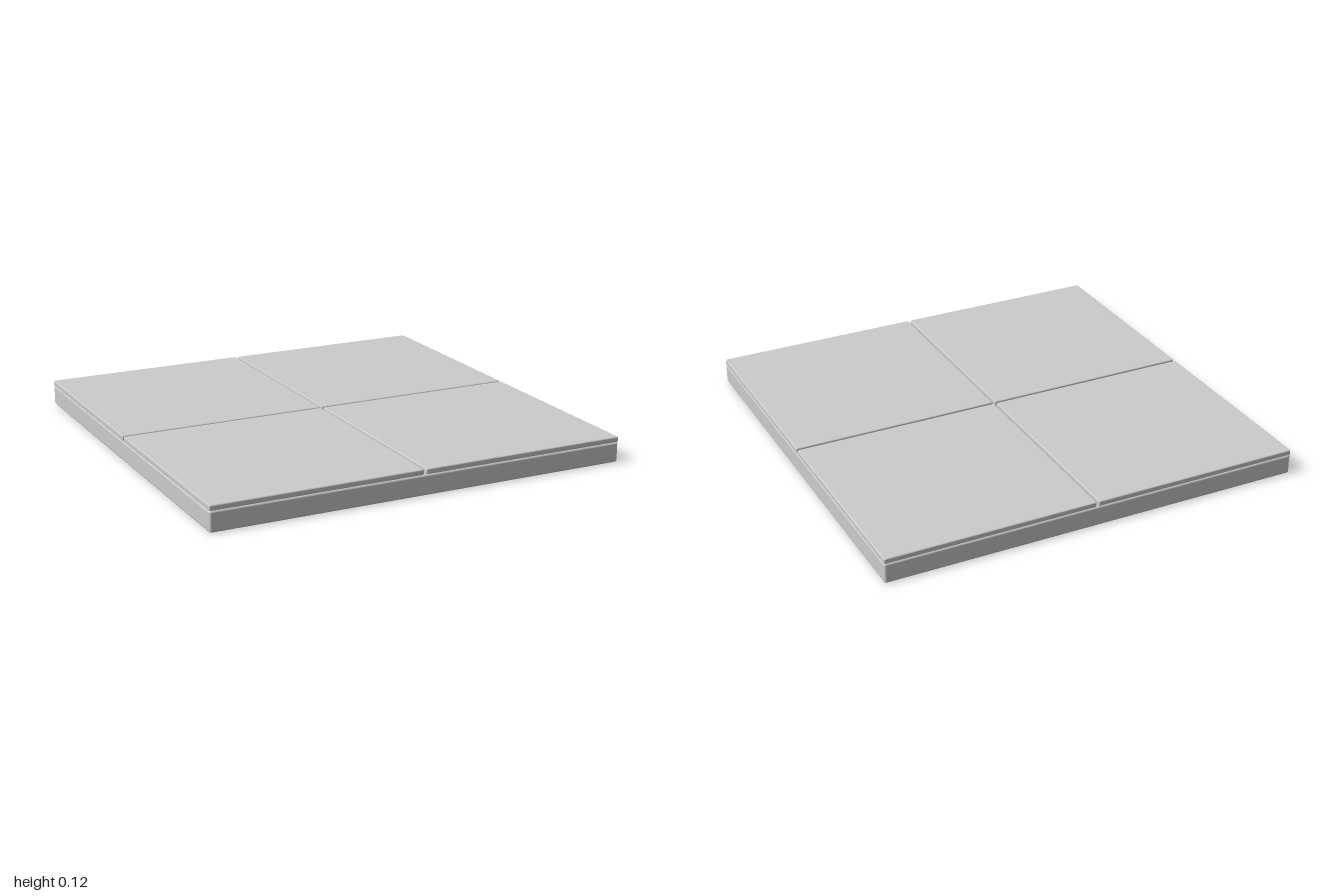
import * as THREE from 'three';
import { RoundedBoxGeometry } from 'three/addons/geometries/RoundedBoxGeometry.js';

export function createModel() {
  const model = new THREE.Group();
  model.name = 'tiledFloor';
  const material = new THREE.MeshStandardMaterial({ color: 0xcccccc });

  // Box with softened edges, placed by its underside
  function slab(name, width, height, radius, x, y, z) {
    const geometry = new RoundedBoxGeometry(width, height, width, 2, radius);
    const mesh = new THREE.Mesh(geometry, material);
    mesh.name = name;
    mesh.position.set(x, y + height / 2, z);
    model.add(mesh);
  }

  // Thick base slab
  const baseHeight = 0.095;
  slab('base', 2, baseHeight, 0.01, 0, 0, 0);

  // Four thin tiles with a narrow gap between them
  const gap = 0.012;
  const tileWidth = 1 - gap / 2;
  const offset = (1 + gap / 2) / 2;
  for (const [sx, side] of [[1, 'Left'], [-1, 'Right']]) {
    for (const [sz, end] of [[1, 'front'], [-1, 'back']]) {
      slab(`${end}${side}Tile`, tileWidth, 0.026, 0.006, sx * offset, baseHeight, sz * offset);
    }
  }
  return model;
}
